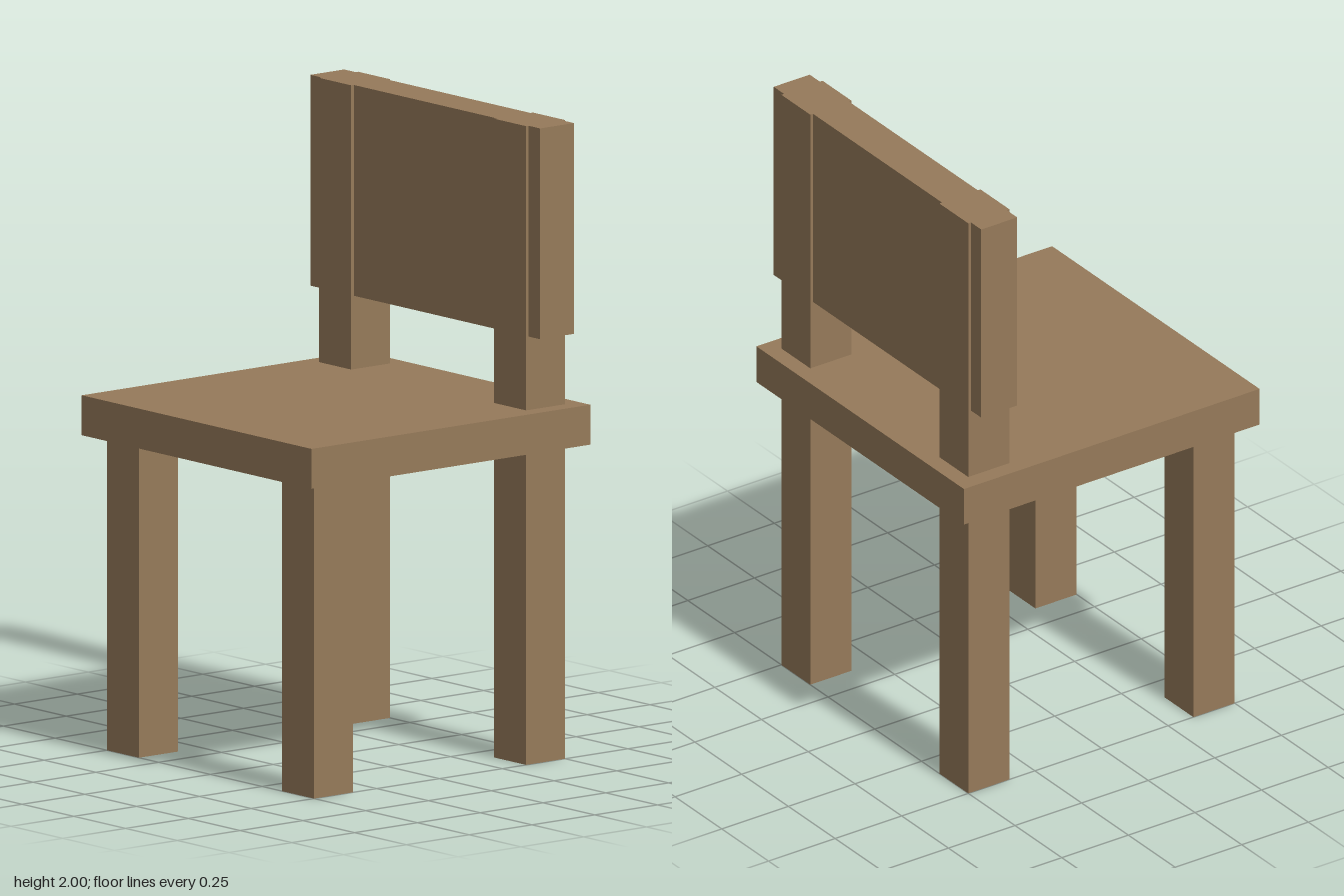
import * as THREE from 'three';

export function createModel() {
  const chair = new THREE.Group();
  chair.name = 'chair';

  const wood = new THREE.MeshStandardMaterial({ color: 0x967a5a });
  wood.name = 'brown wood';

  // Box given by its lower and upper limits on each axis
  function addBox(name, [x0, x1], [y0, y1], [z0, z1]) {
    const mesh = new THREE.Mesh(new THREE.BoxGeometry(x1 - x0, y1 - y0, z1 - z0), wood);
    mesh.position.set((x0 + x1) / 2, (y0 + y1) / 2, (z0 + z1) / 2);
    mesh.name = name;
    chair.add(mesh);
  }

  const inner = 0.345, outer = 0.5, half = 0.555;
  const seatBottom = 0.985, seatTop = 1.11, top = 2;

  // Seat slab
  addBox('seat', [-half, half], [seatBottom, seatTop], [-half, half]);

  // Legs under the corners, and posts rising above the back legs
  for (const [side, x] of [['left', [inner, outer]], ['right', [-outer, -inner]]]) {
    addBox(`${side}FrontLeg`, x, [0, seatBottom], [inner, outer]);
    addBox(`${side}BackLeg`, x, [0, seatBottom], [-outer, -inner]);
    addBox(`${side}BackPost`, x, [seatTop, top], [-outer, -inner]);
  }

  // Backrest panel, slightly thinner than the posts it runs through
  addBox('backrest', [-half, half], [1.34, top], [-0.49, -0.355]);

  return chair;
}
